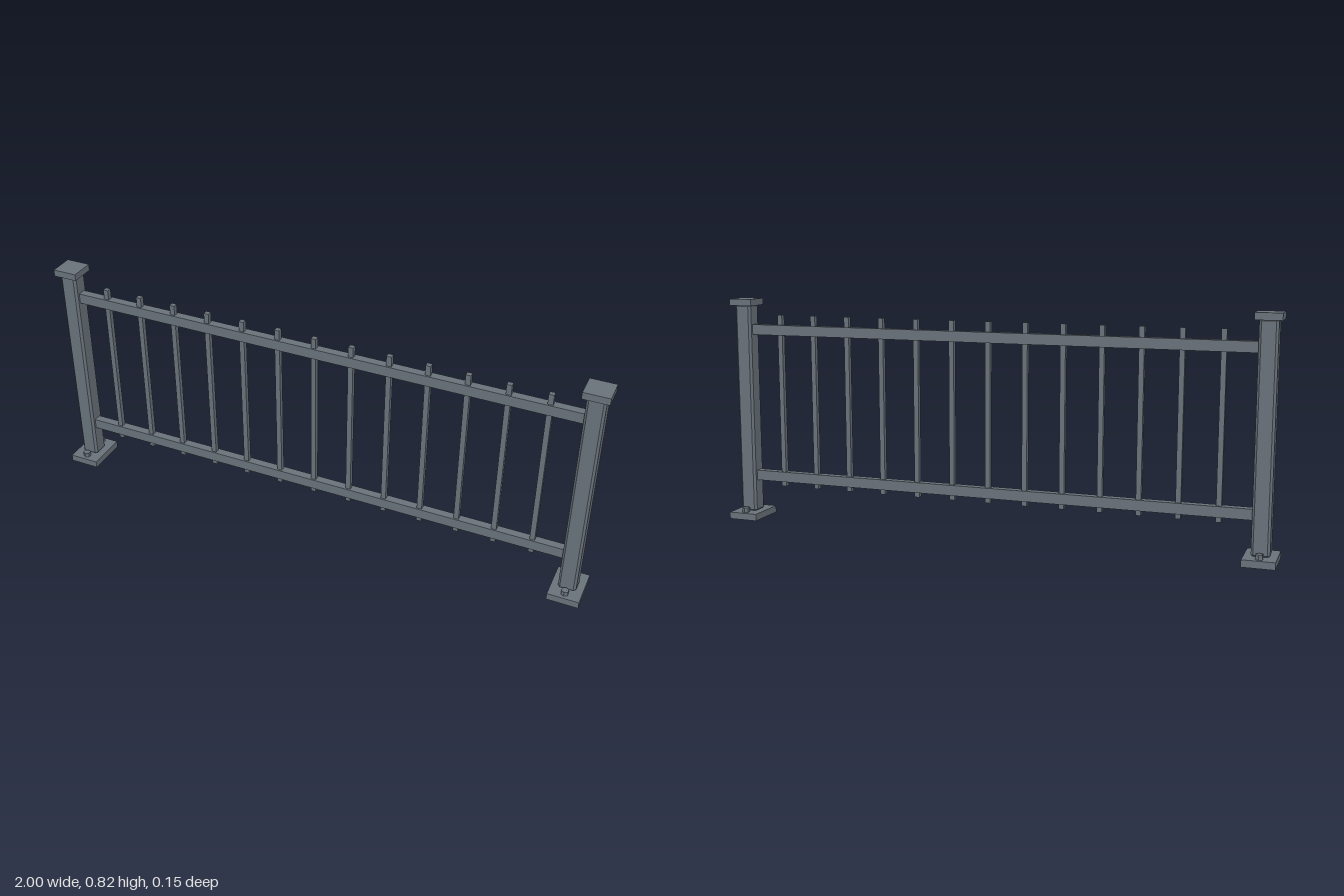
import * as THREE from 'three';

const steel = new THREE.MeshStandardMaterial({ color: 0x69727a });
steel.name = 'greySteel';

function add(parent, name, geometry, x, y, z) {
  const mesh = new THREE.Mesh(geometry, steel);
  mesh.name = name;
  mesh.position.set(x, y, z);
  parent.add(mesh);
  return mesh;
}

// Upright square bar with chamfered corners and ends, standing on y = 0
function chamferedBar(width, height, c) {
  const a = width / 2 - c, b = a - c;
  const outline = [[b, -a], [a, -b], [a, b], [b, a], [-b, a], [-a, b], [-a, -b], [-b, -a]];
  const shape = new THREE.Shape(outline.map(([x, y]) => new THREE.Vector2(x, y)));
  const geometry = new THREE.ExtrudeGeometry(shape, {
    depth: height - 2 * c, bevelEnabled: true, bevelThickness: c, bevelSize: c, bevelSegments: 1,
  });
  return geometry.translate(0, 0, c).rotateX(-Math.PI / 2);
}

export function createModel() {
  const railing = new THREE.Group();
  railing.name = 'railing';

  // End posts with base plate, anchor bolts and cap
  const postGeometry = chamferedBar(0.062, 0.77, 0.005);
  const plateGeometry = new THREE.BoxGeometry(0.11, 0.025, 0.15);
  const capGeometry = new THREE.BoxGeometry(0.088, 0.024, 0.088);
  const boltGeometry = new THREE.CylinderGeometry(0.0135, 0.0135, 0.017, 6).toNonIndexed();
  boltGeometry.computeVertexNormals();
  for (const side of [-1, 1]) {
    const post = new THREE.Group();
    post.name = side < 0 ? 'rightPost' : 'leftPost';
    post.position.x = side * 0.945;
    add(post, 'basePlate', plateGeometry, 0, 0.0125, 0);
    add(post, 'postShaft', postGeometry, 0, 0.026, 0);
    add(post, 'postCap', capGeometry, 0, 0.806, 0);
    for (const z of [-0.051, 0.051]) add(post, 'anchorBolt', boltGeometry, 0, 0.0335, z);
    railing.add(post);
  }

  // Horizontal rails
  const railGeometry = new THREE.BoxGeometry(1.84, 0.037, 0.03);
  add(railing, 'bottomRail', railGeometry, 0, 0.161, 0);
  add(railing, 'topRail', railGeometry, 0, 0.706, 0);

  // Balusters passing through both rails
  const balusterGeometry = new THREE.BoxGeometry(0.018, 0.636, 0.018);
  for (let i = -6; i <= 6; i++) add(railing, 'baluster', balusterGeometry, i * 0.134, 0.443, 0);

  return railing;
}
